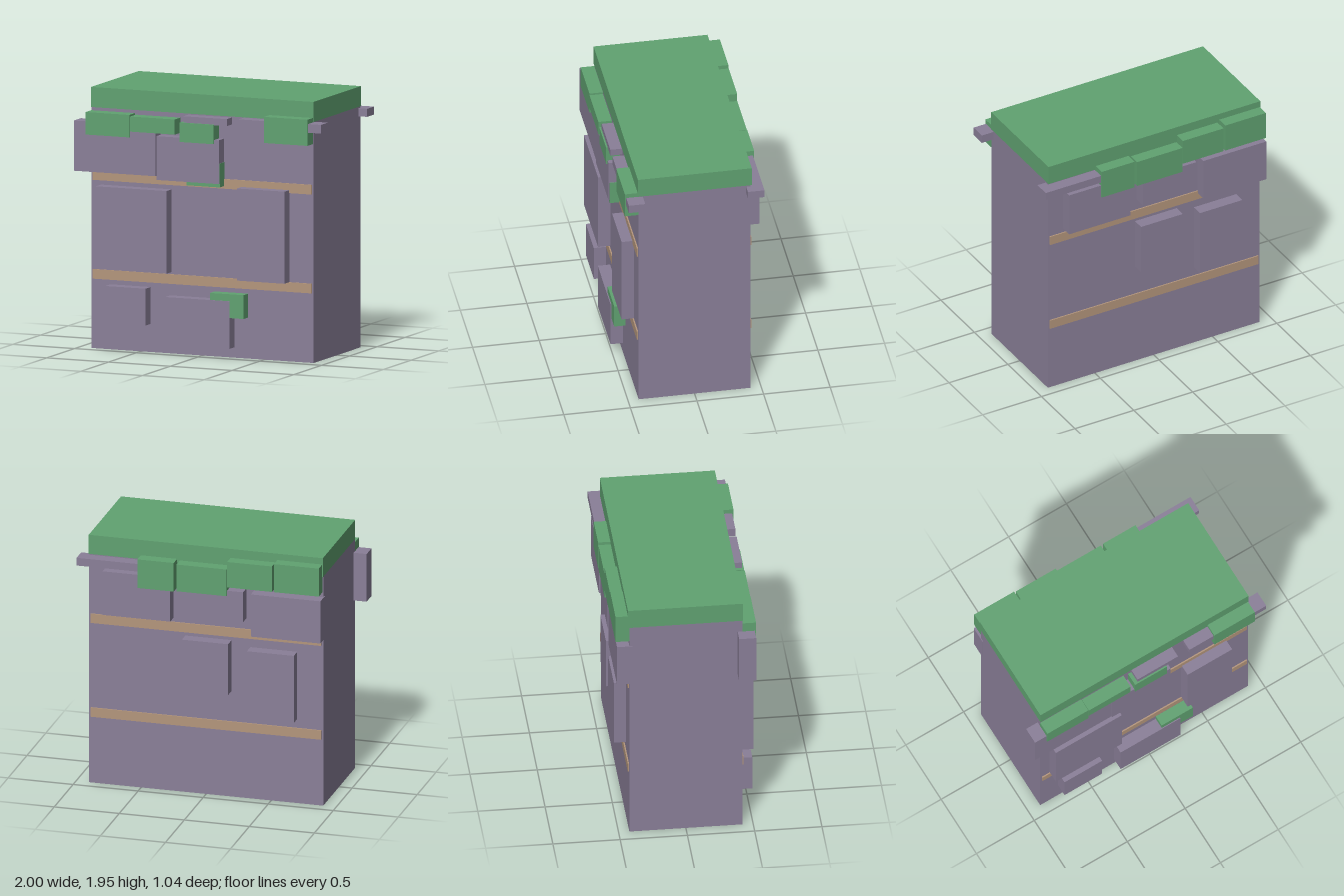
import * as THREE from 'three';

export function createModel() {
  const group = new THREE.Group();
  const stone = new THREE.MeshStandardMaterial({ name: 'stone', color: 0x8a7f98 });
  const grass = new THREE.MeshStandardMaterial({ name: 'grass', color: 0x60a271 });
  const sand = new THREE.MeshStandardMaterial({ name: 'sand', color: 0xb4967c });

  // Box given by its lower and upper limits on each axis
  function block(name, material, x0, x1, y0, y1, z0, z1) {
    const mesh = new THREE.Mesh(new THREE.BoxGeometry(x1 - x0, y1 - y0, z1 - z0), material);
    mesh.position.set((x0 + x1) / 2, (y0 + y1) / 2, (z0 + z1) / 2);
    mesh.name = name;
    group.add(mesh);
  }

  // Main cliff block and grassy cap
  block('cliffBody', stone, -0.9, 0.9, 0, 1.8, -0.42, 0.42);
  block('grassCap', grass, -0.9, 0.9, 1.8, 1.95, -0.43, 0.425);

  // Sediment bands on front and back
  for (const [y0, y1] of [[0.52, 0.592], [1.258, 1.33]]) {
    block('frontSedimentBand', sand, -0.885, 0.885, y0, y1, 0.4, 0.43);
    block('backSedimentBand', sand, -0.885, 0.885, y0, y1, -0.43, -0.4);
  }

  // Each row: x0, x1, y0, y1
  const frontStones = [
    [-1.0, -0.34, 1.33, 1.705],
    [-0.333, 0.173, 1.303, 1.63],
    [-0.82, -0.25, 0.607, 1.225],
    [0.32, 0.705, 0.592, 1.28],
    [-0.745, -0.42, 0.21, 0.485],
    [-0.26, 0.258, 0.077, 0.433],
  ];
  const backStones = [
    [0.25, 0.77, 1.362, 1.705],
    [-0.31, 0.145, 1.415, 1.65],
    [-0.905, -0.37, 1.308, 1.64],
    [-0.195, 0.16, 0.83, 1.23],
    [-0.7, -0.34, 0.662, 1.19],
  ];
  for (const s of frontStones) block('frontStone', stone, ...s, 0.385, 0.512);
  for (const s of backStones) block('backStone', stone, ...s, -0.512, -0.39);

  // Thin ledges under the cap
  block('frontLedge', stone, -0.112, 0.238, 1.74, 1.792, 0.39, 0.51);
  block('frontLedge', stone, 0.335, 1.0, 1.732, 1.797, 0.388, 0.512);
  block('backLedge', stone, 0.4, 0.97, 1.73, 1.79, -0.512, -0.388);

  // Overhanging grass tufts
  const frontTufts = [
    [-0.9, -0.545, 1.608, 1.776],
    [-0.54, -0.18, 1.652, 1.765],
    [-0.14, 0.135, 1.6, 1.745],
    [0.545, 0.895, 1.635, 1.83],
  ];
  const backTufts = [
    [0.22, 0.5, 1.605, 1.83],
    [-0.187, 0.2, 1.61, 1.82],
    [-0.535, -0.19, 1.68, 1.88],
    [-0.895, -0.55, 1.68, 1.9],
  ];
  for (const t of frontTufts) block('frontGrassTuft', grass, ...t, 0.415, 0.522);
  for (const t of backTufts) block('backGrassTuft', grass, ...t, -0.522, -0.415);

  // Moss patches among the front stones
  block('mossPatch', grass, -0.092, 0.178, 1.277, 1.455, 0.41, 0.503);
  block('mossPatch', grass, 0.1, 0.37, 0.307, 0.485, 0.41, 0.505);

  return group;
}
